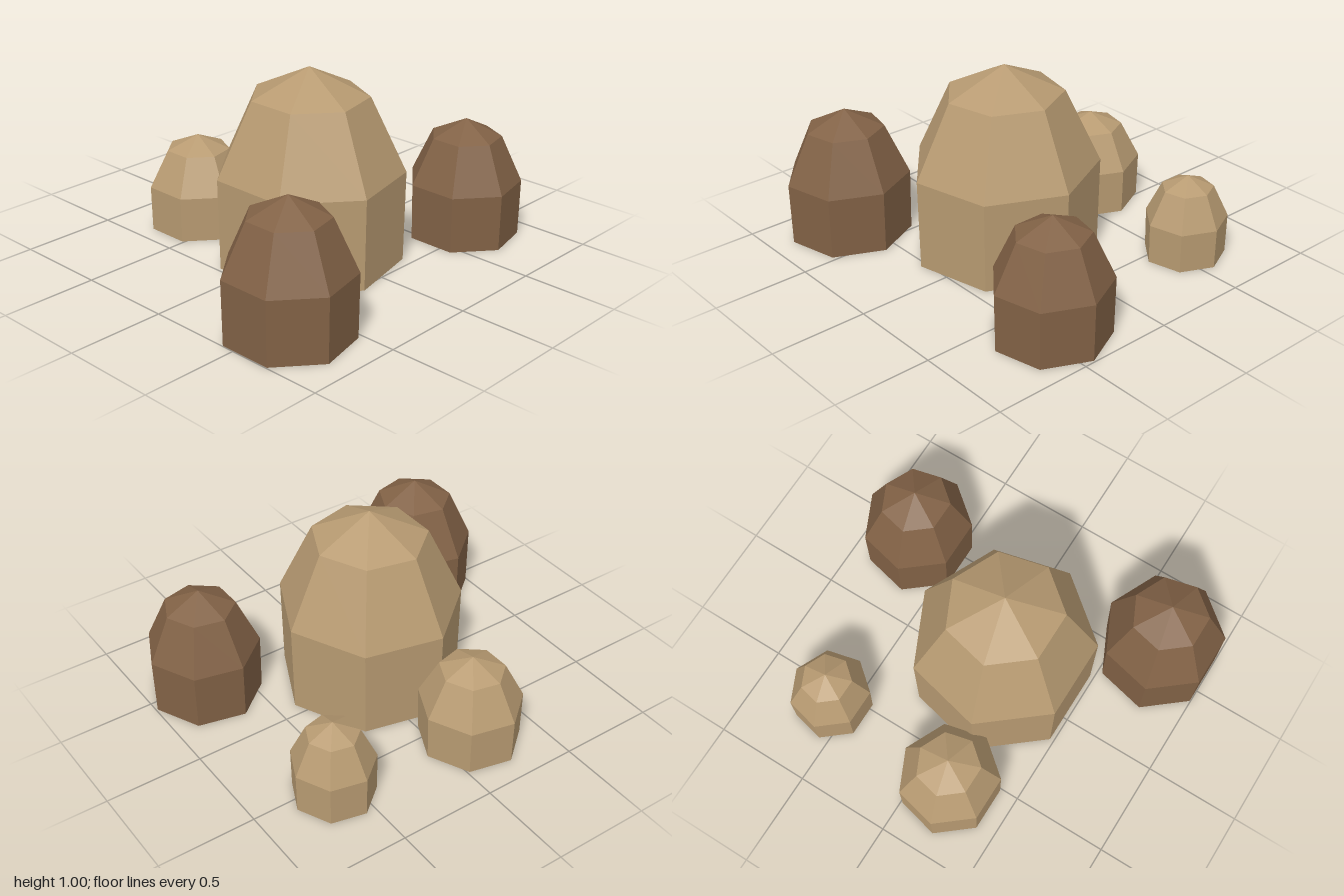
import * as THREE from 'three';

const SIDES = 7;

// Faceted mound: closed base, near-upright wall, sloped shoulder, shallow cap
function dome(name, x, z, radius, depth, height, material) {
  const profile = [[0, 0], [0.985, 0], [1, 0.473], [0.624, 0.856], [0, 1]]
    .map(([r, y]) => new THREE.Vector2(r, y));
  // Start a quarter turn round so that one corner points to +x
  const geometry = new THREE.LatheGeometry(profile, SIDES, Math.PI / 2);
  geometry.scale(radius, height, depth);
  const mesh = new THREE.Mesh(geometry, material);
  mesh.name = name;
  mesh.position.set(x, 0, z);
  return mesh;
}

export function createModel() {
  const tan = new THREE.MeshStandardMaterial({ name: 'tan', color: 0xb89b72, flatShading: true });
  const brown = new THREE.MeshStandardMaterial({ name: 'brown', color: 0x826246, flatShading: true });

  const group = new THREE.Group();
  group.name = 'moundCluster';
  group.add(
    dome('mainMound', -0.06, 0.068, 0.471, 0.484, 1.0, tan),
    dome('frontRightMound', -0.718, 0.57, 0.313, 0.323, 0.687, brown),
    dome('frontLeftMound', 0.707, 0.442, 0.289, 0.297, 0.627, brown),
    dome('backRightMound', -0.171, -0.626, 0.26, 0.268, 0.5, tan),
    dome('backLeftMound', 0.597, -0.565, 0.208, 0.215, 0.438, tan),
  );
  return group;
}
